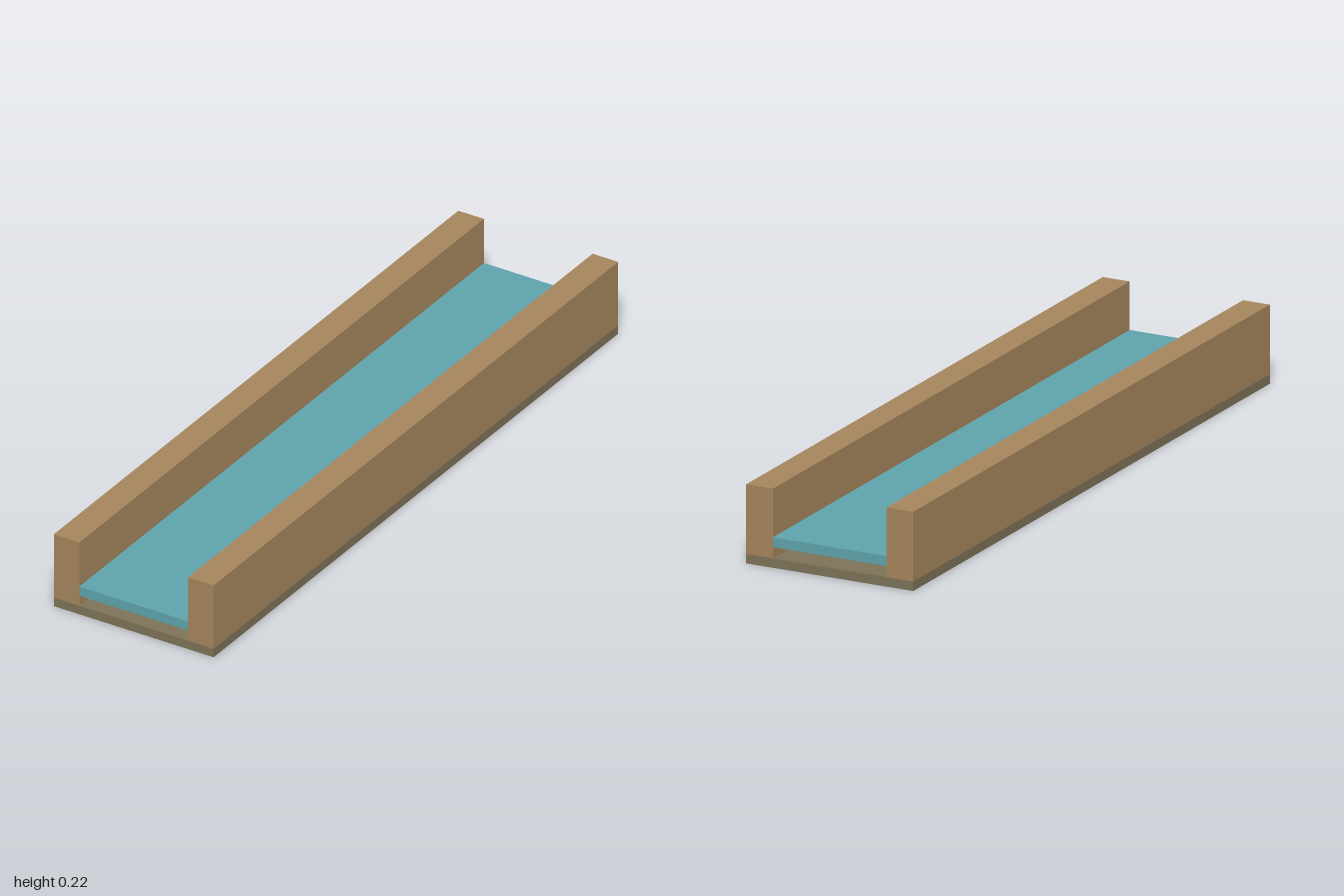
import * as THREE from 'three';

const LENGTH = 2;

export function createModel() {
  const wood = new THREE.MeshStandardMaterial({ color: 0xa5855c });
  wood.name = 'wood';
  const darkWood = new THREE.MeshStandardMaterial({ color: 0x7d7258 });
  darkWood.name = 'dark wood';
  const water = new THREE.MeshStandardMaterial({ color: 0x5fa3ab });
  water.name = 'water blue';

  const group = new THREE.Group();
  group.name = 'waterChannel';

  // Full-length bar spanning x0..x1 and y0..y1
  const addBar = (name, material, x0, x1, y0, y1) => {
    const mesh = new THREE.Mesh(new THREE.BoxGeometry(x1 - x0, y1 - y0, LENGTH), material);
    mesh.position.set((x0 + x1) / 2, (y0 + y1) / 2, 0);
    mesh.name = name;
    group.add(mesh);
  };

  // Floor board
  addBar('floor', darkWood, -0.25, 0.25, 0, 0.026);

  // Side walls standing on the floor
  addBar('leftWall', wood, 0.17, 0.25, 0.026, 0.22);
  addBar('rightWall', wood, -0.25, -0.17, 0.026, 0.22);

  // Water sheet held between the walls, clear of the floor
  addBar('waterSheet', water, -0.17, 0.17, 0.057, 0.085);

  return group;
}
